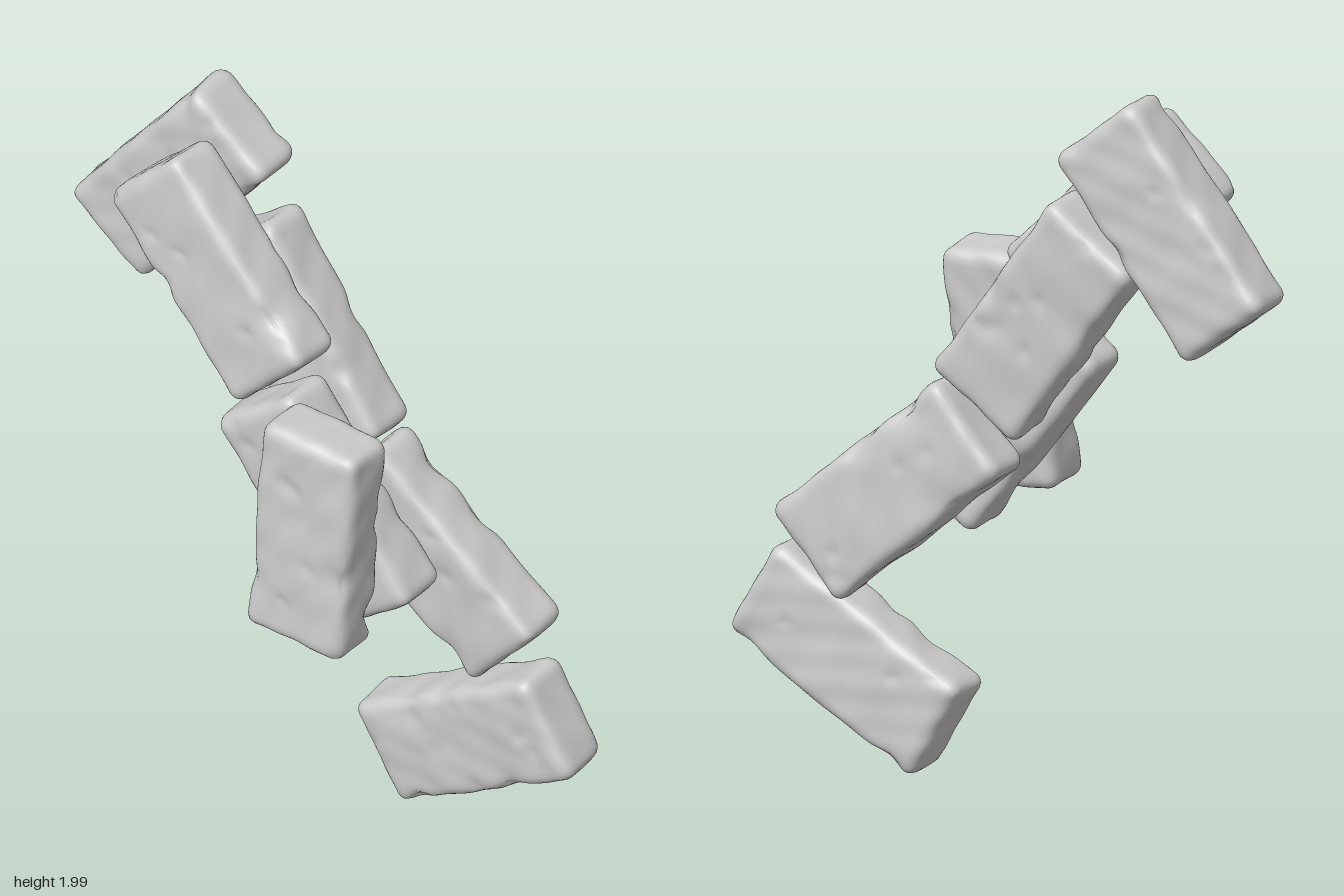
import * as THREE from 'three';
import { mergeVertices } from 'three/addons/utils/BufferGeometryUtils.js';

const LENGTH = 0.65, WIDTH = 0.305, DEPTH = 0.168, RADIUS = 0.034;

function seeded(seed) {
  let s = seed * 7919 + 17;
  return () => (s = (s * 16807) % 2147483647) / 2147483647;
}

// Worn brick: a dense box with rounded edges, gentle waves, chipped edges and small pits
function brickGeometry(seed) {
  const rand = seeded(seed);
  for (let i = 0; i < 5; i++) rand();
  const half = new THREE.Vector3(LENGTH, WIDTH, DEPTH).multiplyScalar(0.5);
  let geo = new THREE.BoxGeometry(LENGTH, WIDTH, DEPTH, 44, 22, 14);
  geo.deleteAttribute('uv');
  geo.deleteAttribute('normal');
  geo = mergeVertices(geo);

  // Dents: small pits on the two broad faces, wider chips along the long edges
  const dents = [];
  for (let i = 0; i < 16; i++) {
    const side = rand() < 0.5 ? -1 : 1;
    const pit = i < 10;
    dents.push({
      at: new THREE.Vector3((rand() * 2 - 1) * half.x,
        pit ? (rand() * 2 - 1) * half.y : (rand() < 0.5 ? -1 : 1) * half.y, side * half.z),
      size: pit ? 0.014 + rand() * 0.012 : 0.03 + rand() * 0.03,
      depth: pit ? 0.007 : 0.014,
    });
  }
  const phase = [rand() * 6, rand() * 6, rand() * 6];

  const pos = geo.attributes.position;
  const p = new THREE.Vector3(), core = new THREE.Vector3(), dir = new THREE.Vector3();
  const inner = half.clone().subScalar(RADIUS), outer = inner.clone().negate();
  for (let i = 0; i < pos.count; i++) {
    p.fromBufferAttribute(pos, i);
    core.copy(p).clamp(outer, inner);
    dir.copy(p).sub(core).normalize();
    let push = 0.003 * Math.sin(p.x * 17 + phase[0] + p.z * 9) * Math.sin(p.y * 21 + phase[1])
      + 0.002 * Math.sin(p.x * 43 + p.y * 31 + phase[2]) * Math.sin(p.z * 37 - p.y * 29 + phase[0]);
    for (const d of dents) {
      push -= d.depth * Math.exp(-p.distanceToSquared(d.at) / (d.size * d.size));
    }
    p.copy(core).addScaledVector(dir, RADIUS + push);
    pos.setXYZ(i, p.x, p.y, p.z);
  }
  geo.computeVertexNormals();
  return geo;
}

export function createModel() {
  const group = new THREE.Group();
  const material = new THREE.MeshStandardMaterial({ color: 0xcccccc });

  // name, centre, angle in the front plane (degrees), slight tilts about x and y
  const bricks = [
    ['bottomBrick', [0.47, 0.29, -0.17], 29, 0.04, 0],
    ['lowerBackBrick', [0.33, 0.79, -0.192], 138, 0.045, 0.02],
    ['middleBackBrick', [-0.105, 1.335, -0.172], 125, -0.03, 0],
    ['topBackBrick', [-0.51, 1.66, -0.207], 51, 0.02, 0],
    ['middleBrick', [0.115, 0.99, 0.01], 126, 0.03, 0],
    ['upperFrontBrick', [-0.245, 1.57, -0.013], 134, -0.05, -0.05],
    ['frontBrick', [0.213, 1.04, 0.2], 87, -0.035, 0],
  ];
  bricks.forEach(([name, centre, angle, tiltX, tiltY], i) => {
    const brick = new THREE.Mesh(brickGeometry(i + 1), material);
    brick.name = name;
    brick.position.set(...centre);
    brick.rotation.set(tiltX, tiltY, THREE.MathUtils.degToRad(angle));
    group.add(brick);
  });
  return group;
}
